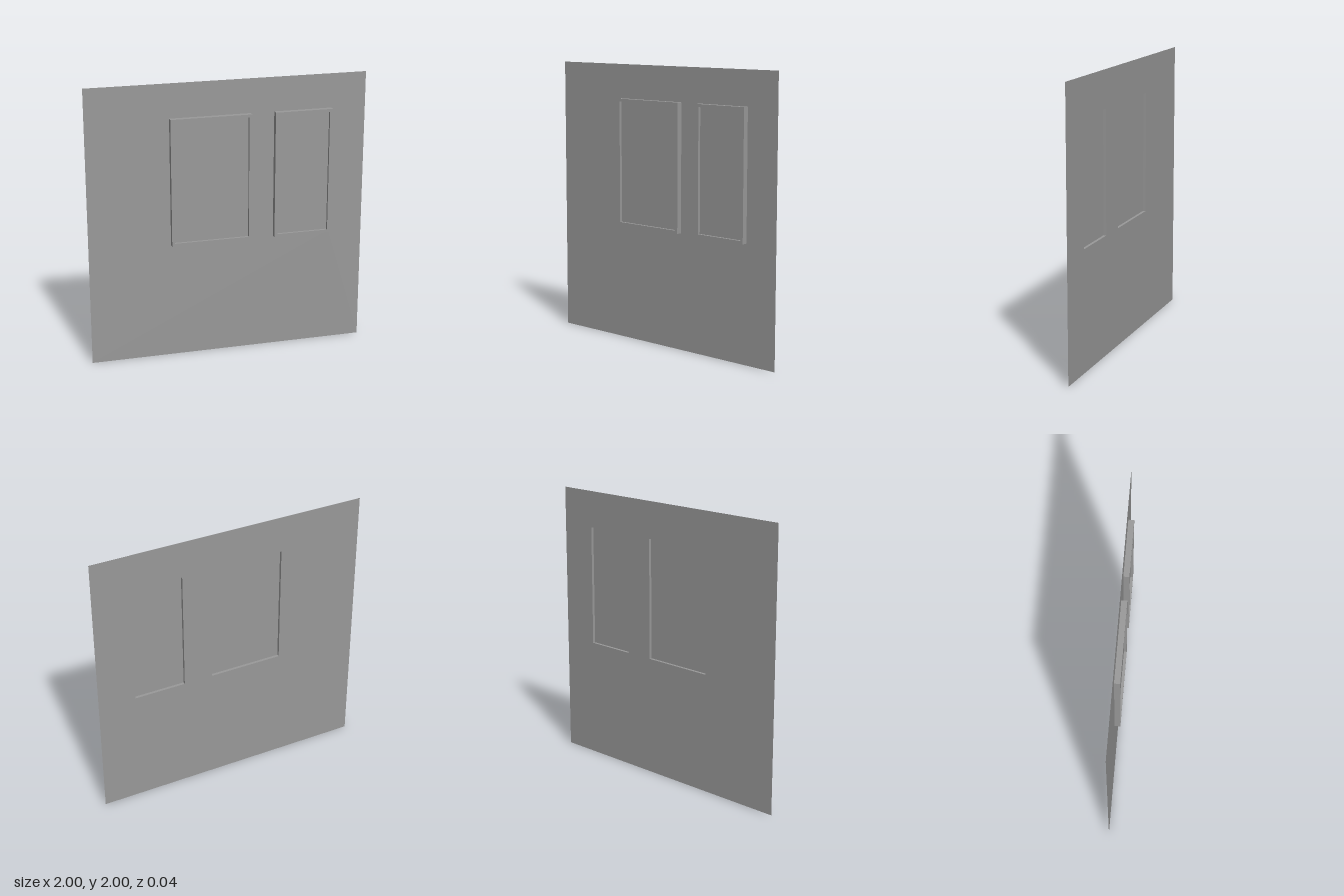
import * as THREE from 'three';

const BACK = -0.02;   // plane of the wall sheet
const DEPTH = 0.04;   // how far the frames stand out
const RIM = 0.021;    // width of a frame bar

// Traces a rectangle on a Shape or Path
function rect(path, x0, y0, x1, y1) {
  path.moveTo(x0, y0);
  path.lineTo(x1, y0);
  path.lineTo(x1, y1);
  path.lineTo(x0, y1);
  path.closePath();
  return path;
}

export function createModel() {
  const group = new THREE.Group();
  const grey = new THREE.MeshStandardMaterial({ color: 0x999999, side: THREE.DoubleSide });
  grey.name = 'plain grey';

  const add = (name, geometry, z) => {
    const mesh = new THREE.Mesh(geometry, grey);
    mesh.name = name;
    mesh.position.z = z;
    group.add(mesh);
  };

  // Outer outlines of the two windows: x0, y0, x1, y1
  const windows = {
    wideWindow: [-0.415, 0.84, 0.163, 1.755],
    narrowWindow: [0.332, 0.84, 0.749, 1.755],
  };

  // Thin wall sheet with an opening for each window
  const wall = rect(new THREE.Shape(), -1, 0, 1, 2);
  for (const box of Object.values(windows)) wall.holes.push(rect(new THREE.Path(), ...box));
  add('wall', new THREE.ShapeGeometry(wall), BACK);

  for (const [name, [x0, y0, x1, y1]] of Object.entries(windows)) {
    const inner = [x0 + RIM, y0 + RIM, x1 - RIM, y1 - RIM];

    // Frame standing out from the front of the wall
    const frame = rect(new THREE.Shape(), x0, y0, x1, y1);
    frame.holes.push(rect(new THREE.Path(), ...inner));
    add(name + 'Frame', new THREE.ExtrudeGeometry(frame, { depth: DEPTH, bevelEnabled: false }), BACK);

    // Pane set halfway into the frame
    add(name + 'Pane', new THREE.ShapeGeometry(rect(new THREE.Shape(), ...inner)), 0);
  }
  return group;
}
